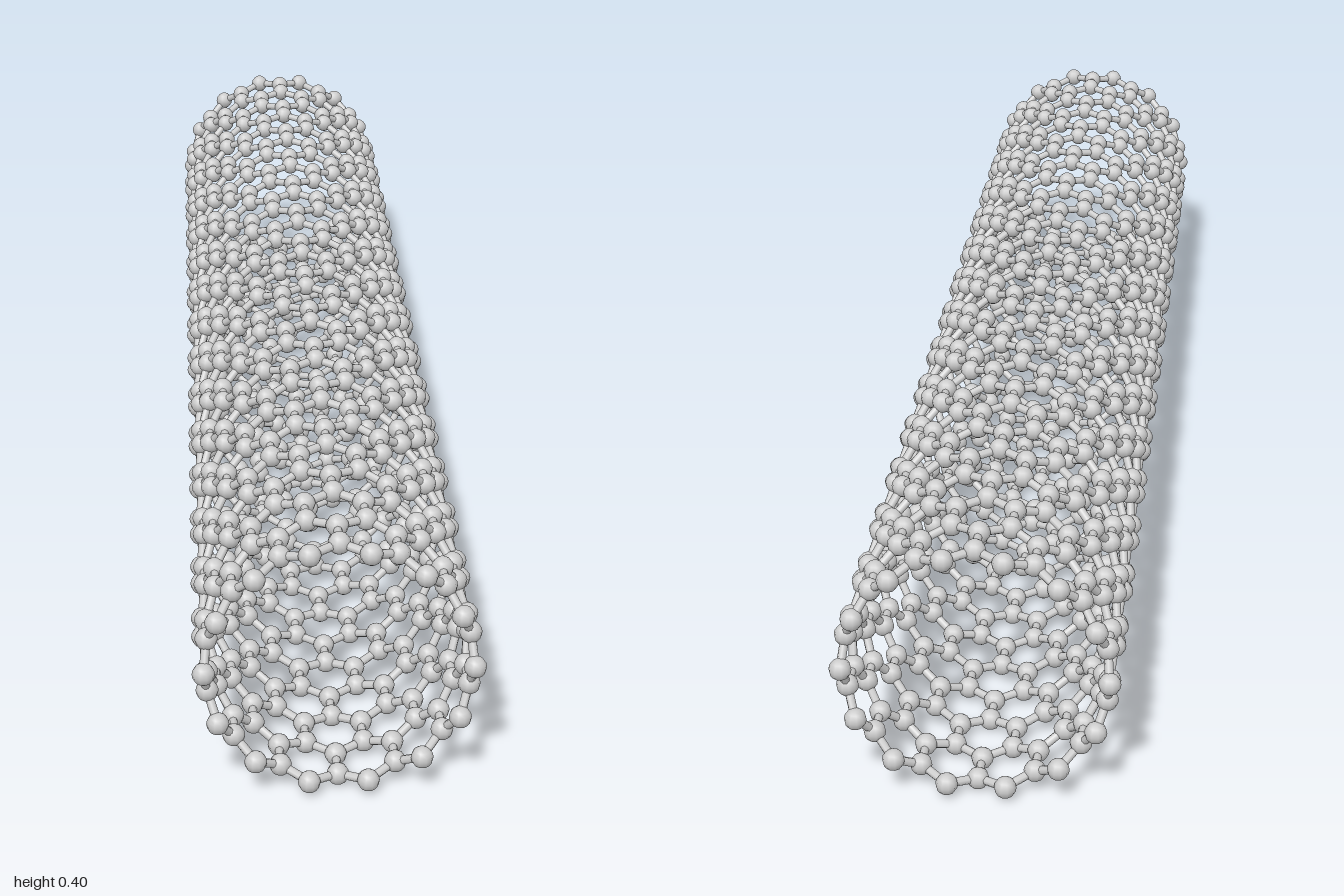
import * as THREE from 'three';
import { mergeGeometries } from 'three/addons/utils/BufferGeometryUtils.js';

const COLUMNS = 28;        // atom columns around the tube
const CELLS = 14;          // hexagon cells along the tube
const RADIUS = 0.1838;
const CENTER_Y = 0.2015;
const BOND = 1.966 / (3 * CELLS - 1);
const ATOM_R = 0.0158;
const BOND_R = 0.0062;

// Point on the tube: column index around, z measured in bond lengths from the back end
function site(column, step) {
  const angle = (column / COLUMNS) * Math.PI * 2;
  return new THREE.Vector3(
    Math.sin(angle) * RADIUS,
    CENTER_Y + Math.cos(angle) * RADIUS,
    (step - (3 * CELLS - 1) / 2) * BOND
  );
}

// Open cylinder joining two atoms
function rod(a, b) {
  const dir = b.clone().sub(a);
  const g = new THREE.CylinderGeometry(BOND_R, BOND_R, dir.length(), 8, 1, true);
  const turn = new THREE.Quaternion().setFromUnitVectors(new THREE.Vector3(0, 1, 0), dir.normalize());
  g.applyQuaternion(turn);
  const mid = a.clone().add(b).multiplyScalar(0.5);
  return g.translate(mid.x, mid.y, mid.z);
}

export function createModel() {
  const group = new THREE.Group();
  group.name = 'hexagonalLatticeTube';
  const material = new THREE.MeshStandardMaterial({ color: 0xcccccc });
  const ball = new THREE.SphereGeometry(ATOM_R, 10, 8);
  const atoms = [], axialBonds = [], zigzagBonds = [];

  for (let c = 0; c < COLUMNS; c++) {
    const odd = c % 2 === 1;
    for (let k = 0; k < CELLS; k++) {
      // Two atoms per column in each cell
      const near = site(c, 3 * k + (odd ? 0 : 0.5));
      const far = site(c, 3 * k + (odd ? 2 : 1.5));
      for (const p of [near, far]) atoms.push(ball.clone().translate(p.x, p.y, p.z));

      // Bonds parallel to the axis alternate between columns
      if (!odd) axialBonds.push(rod(near, far));
      else if (k < CELLS - 1) axialBonds.push(rod(far, site(c, 3 * k + 3)));

      // Slanted bonds from odd columns to both neighbours
      if (odd) {
        for (const side of [-1, 1]) {
          zigzagBonds.push(rod(near, site(c + side, 3 * k + 0.5)));
          zigzagBonds.push(rod(far, site(c + side, 3 * k + 1.5)));
        }
      }
    }
  }

  const parts = { atoms, axialBonds, zigzagBonds };
  for (const [name, list] of Object.entries(parts)) {
    const mesh = new THREE.Mesh(mergeGeometries(list), material);
    mesh.name = name;
    group.add(mesh);
  }
  return group;
}
